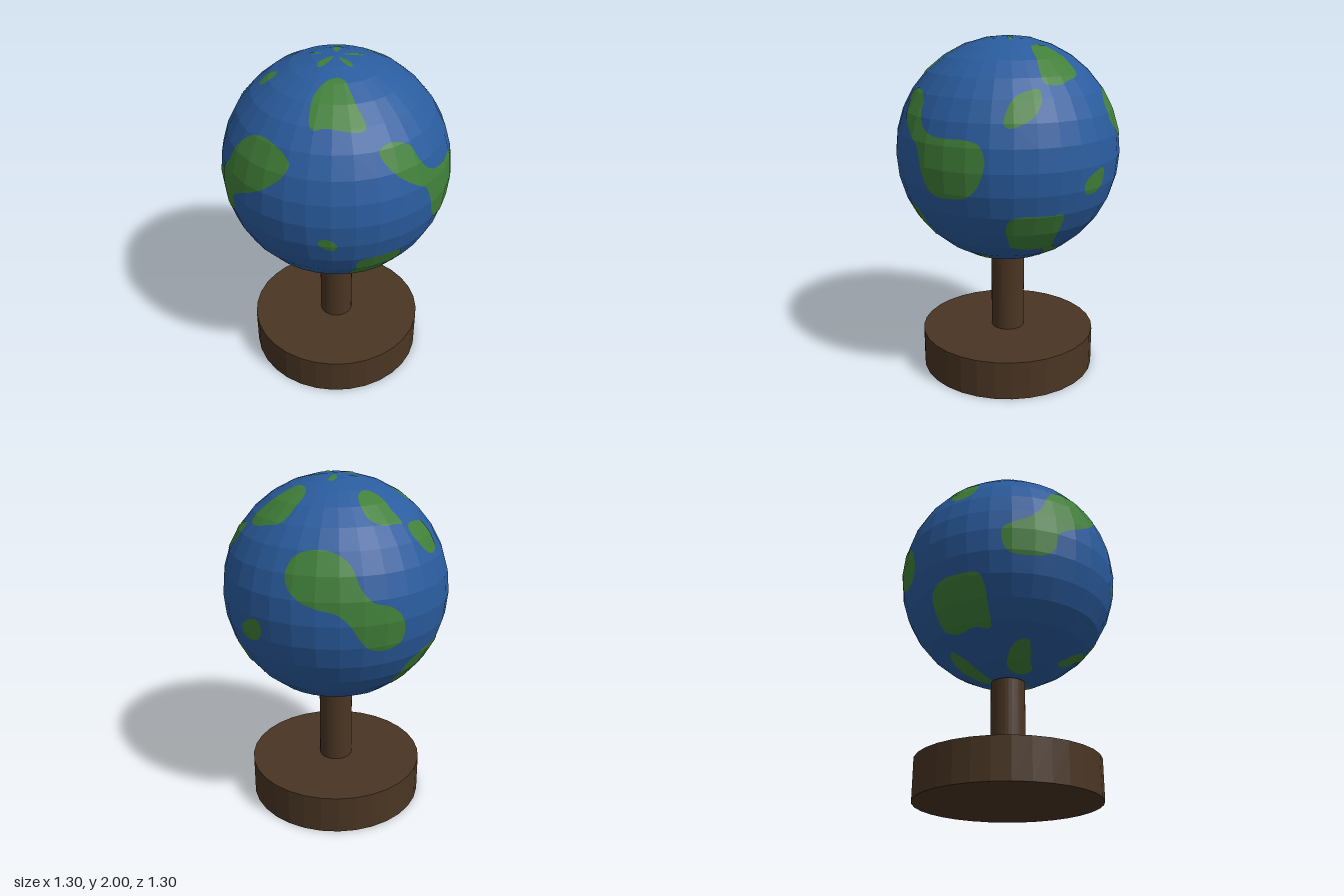
import * as THREE from 'three';
import { mergeGeometries } from 'three/addons/utils/BufferGeometryUtils.js';

const R = 0.65, CENTRE_Y = 1.35, STEP = Math.PI / 16; // globe: 32 x 16 flat facets
const LIFT = 1.003;
const rad = THREE.MathUtils.degToRad;

const material = (name, color) => {
  const m = new THREE.MeshStandardMaterial({ color });
  m.name = name;
  return m;
};

function flat(geometry) {
  const g = geometry.index ? geometry.toNonIndexed() : geometry;
  g.computeVertexNormals();
  return g;
}

function mesh(name, geometry, mat, y = 0) {
  const m = new THREE.Mesh(geometry, mat);
  m.name = name;
  m.position.y = y;
  return m;
}

// Closed smooth outline, drawn on the unit disc facing (heading, elevation), as [lon, lat] points.
function outline(heading, elevation, xy) {
  const a = rad(heading), e = rad(elevation);
  const right = new THREE.Vector3(Math.cos(a), 0, -Math.sin(a));
  const out = new THREE.Vector3(Math.sin(a) * Math.cos(e), Math.sin(e), Math.cos(a) * Math.cos(e));
  const up = new THREE.Vector3().crossVectors(out, right);
  const dirs = [];
  for (let i = 0; i < xy.length; i += 2) {
    const [x, y] = [xy[i], xy[i + 1]];
    const d = Math.sqrt(Math.max(0, 1 - x * x - y * y));
    dirs.push(new THREE.Vector3().addScaledVector(right, x).addScaledVector(up, y).addScaledVector(out, d));
  }
  const curve = new THREE.CatmullRomCurve3(dirs, true);
  let last = null;
  return curve.getPoints(dirs.length * 4).slice(0, -1).map((p) => {
    p.normalize();
    let lon = Math.atan2(p.x, p.z);
    if (last !== null) lon += Math.round((last - lon) / (2 * Math.PI)) * 2 * Math.PI;
    last = lon;
    return [lon, Math.asin(p.y)];
  });
}

// Keep the part of a polygon where sign * (p[axis] - limit) >= 0
function clip(poly, axis, limit, sign) {
  const result = [];
  poly.forEach((p, i) => {
    const q = poly[(i + 1) % poly.length];
    const dp = sign * (p[axis] - limit), dq = sign * (q[axis] - limit);
    if (dp >= 0) result.push(p);
    if ((dp >= 0) !== (dq >= 0)) {
      const t = dp / (dp - dq);
      result.push([p[0] + (q[0] - p[0]) * t, p[1] + (q[1] - p[1]) * t]);
    }
  });
  return result;
}

const onSphere = (lon, lat) => new THREE.Vector3(
  Math.sin(lon) * Math.cos(lat), Math.sin(lat), Math.cos(lon) * Math.cos(lat)).multiplyScalar(R * LIFT);

// Lay an outline over the globe facets, one clipped piece per facet
function landGeometry(poly) {
  const positions = [];
  const range = (axis) => {
    const v = poly.map((p) => p[axis] / STEP);
    return [Math.floor(Math.min(...v)), Math.floor(Math.max(...v))];
  };
  const [i0, i1] = range(0), [j0, j1] = range(1);
  for (let i = i0; i <= i1; i++) for (let j = j0; j <= j1; j++) {
    const lon = i * STEP, lat = j * STEP;
    let piece = clip(clip(poly, 0, lon, 1), 0, lon + STEP, -1);
    piece = clip(clip(piece, 1, lat, 1), 1, lat + STEP, -1);
    if (piece.length < 3) continue;
    const [a, b] = [onSphere(lon, lat), onSphere(lon + STEP, lat)];
    const [c, d] = [onSphere(lon, lat + STEP), onSphere(lon + STEP, lat + STEP)];
    const flatPts = piece.map((p) => new THREE.Vector2((p[0] - lon) / STEP, (p[1] - lat) / STEP));
    const points = flatPts.map((p) => a.clone().lerp(b, p.x).lerp(c.clone().lerp(d, p.x), p.y));
    for (const [p, q, r] of THREE.ShapeUtils.triangulateShape(flatPts, [])) {
      const area = THREE.ShapeUtils.area([flatPts[p], flatPts[q], flatPts[r]]);
      if (Math.abs(area) < 1e-7) continue;
      for (const k of area > 0 ? [p, q, r] : [p, r, q]) positions.push(...points[k].toArray());
    }
  }
  const g = new THREE.BufferGeometry();
  g.setAttribute('position', new THREE.Float32BufferAttribute(positions, 3));
  return flat(g);
}

export function createModel() {
  const model = new THREE.Group();
  model.name = 'globeOnStand';
  const ocean = material('ocean blue', 0x2a5c9e);
  const land = material('land green', 0x407f39);
  const wood = material('dark wood', 0x4a3523);

  // Stand
  model.add(mesh('base', flat(new THREE.CylinderGeometry(0.525, 0.525, 0.23, 32)), wood, 0.115));
  model.add(mesh('stem', flat(new THREE.CylinderGeometry(0.1, 0.1, 0.47, 32)), wood, 0.465));

  // Globe
  const globe = new THREE.Group();
  globe.name = 'globe';
  globe.position.y = CENTRE_Y;
  model.add(globe);
  globe.add(mesh('ocean', flat(new THREE.SphereGeometry(R, 32, 16)), ocean));
  const addLand = (name, heading, elevation, ...outlines) => globe.add(mesh(name,
    mergeGeometries(outlines.map((xy) => landGeometry(outline(heading, elevation, xy)))), land));

  // Large continents around the equator
  addLand('frontContinent', 0, 0, [-.285, .545, -.21, .585, -.105, .577, 0, .52, .04, .415, .115, .317,
    .245, .26, .38, .252, .545, .252, .626, .22, .675, .114, .667, -.01, .618, -.13, .537, -.21,
    .38, -.236, .26, -.228, .187, -.155, .146, -.05, .114, .073, .065, .17, -.03, .228, -.146, .31, -.244, .415]);
  addLand('backContinent', 140, -30, [-.33, .73, -.276, .84, -.13, .894, .037, .894, .175, .84, .267, .71,
    .37, .61, .498, .544, .59, .44, .618, .295, .57, .22, .46, .22, .35, .267, .267, .37, .194, .49,
    .09, .58, -.055, .61, -.22, .645]);
  addLand('rightContinent', 215, 25, [.276, -.48, .295, -.387, .396, -.313, .507, -.23, .58, -.092, .6, .074,
    .627, .23, .68, .33, .774, .378, .866, .35, .903, .24, .903, .09, .857, -.065, .783, -.184,
    .71, -.295, .673, -.44, .608, -.516, .48, -.57, .33, -.58]);

  // Northern lands
  addLand('northLands', 0, 90,
    [-.6, -.35, -.527, -.28, -.44, -.226, -.312, -.21, -.215, -.237, -.188, -.3, -.22, -.398, -.258, -.505,
      -.269, -.597, -.3, -.656, -.366, -.634, -.45, -.56, -.538, -.457, -.6, -.4],
    [.355, .048, .376, .113, .44, .172, .538, .204, .645, .215, .694, .183, .73, .086, .758, -.02,
      .753, -.113, .72, -.177, .624, -.15, .516, -.1, .42, -.065, .36, -.02],
    [-.14, .71, -.075, .715, .06, .71, .14, .65, .15, .575, .118, .473, .065, .414, 0, .398,
      -.065, .43, -.1, .505, -.108, .6],
    [-.52, .344, -.495, .392, -.43, .387, -.387, .328, -.398, .27, -.45, .258, -.505, .296]);

  // Slivers around the north pole
  addLand('polarIslands', 0, 90,
    [.04, .043, .065, .108, .124, .16, .167, .156, .156, .108, .097, .065],
    [.043, -.03, .118, -.05, .194, -.09, .188, -.124, .118, -.09],
    [-.016, -.05, 0, -.113, -.005, -.19, -.03, -.22, -.054, -.2, -.043, -.113],
    [-.038, -.01, -.118, .016, -.194, .005, -.23, -.03, -.2, -.06, -.1, -.038],
    [-.05, .105, -.055, .135, -.085, .2, -.107, .21, -.1, .16, -.075, .125]);

  // Lands on the left side: upper island, small island, southern land with a tail
  addLand('leftLands', 90, 0,
    [-.577, .382, -.52, .496, -.44, .577, -.333, .618, -.244, .626, -.26, .545, -.317, .47, -.39, .407,
      -.48, .366, -.553, .35],
    [.049, -.18, .065, -.114, .146, -.057, .244, -.024, .285, -.057, .285, -.138, .236, -.21, .154, -.236, .08, -.228],
    [-.537, -.4, -.455, -.366, -.25, -.374, -.114, -.38, -.09, -.48, -.09, -.577, -.057, -.69, .016, -.764,
      .114, -.805, .146, -.854, .122, -.91, .05, -.927, -.016, -.886, -.065, -.797, -.146, -.748,
      -.29, -.732, -.41, -.69, -.48, -.593, -.53, -.496]);

  // Southern front land, small island and a southern sliver
  addLand('frontLands', 0, 0,
    [-.47, -.44, -.43, -.39, -.31, -.38, -.13, -.39, -.073, -.455, -.05, -.545, -.073, -.66, -.146, -.724,
      -.276, -.74, -.333, -.79, -.34, -.87, -.406, -.878, -.47, -.813, -.463, -.74, -.39, -.715, -.44, -.634, -.43, -.56],
    [-.77, -.155, -.748, -.122, -.7, -.13, -.66, -.187, -.667, -.236, -.707, -.236, -.748, -.203],
    [.03, -.985, .09, -.9, .16, -.855, .26, -.837, .293, -.854, .244, -.91, .16, -.96, .08, -.985]);

  // Back islands
  addLand('backLands', 215, 25,
    [-.276, .258, -.24, .313, -.13, .313, -.01, .267, 0, .147, -.03, .046, -.13, .01, -.21, .046, -.267, .157],
    [-.405, -.737, -.286, -.7, -.1, -.71, .055, -.72, .1, -.774, .1, -.885, .074, -.958, -.055, -.95,
      -.24, -.94, -.36, -.894, -.405, -.81]);

  // Slivers towards the south pole
  addLand('southIslands', 140, -30,
    [-.037, -.756, .055, -.627, .147, -.535, .258, -.48, .34, -.48, .32, -.562, .258, -.654, .147, -.737, .055, -.79],
    [.166, -.91, .286, -.84, .424, -.8, .544, -.774, .544, -.81, .44, -.866, .313, -.91, .19, -.94]);

  return model;
}
